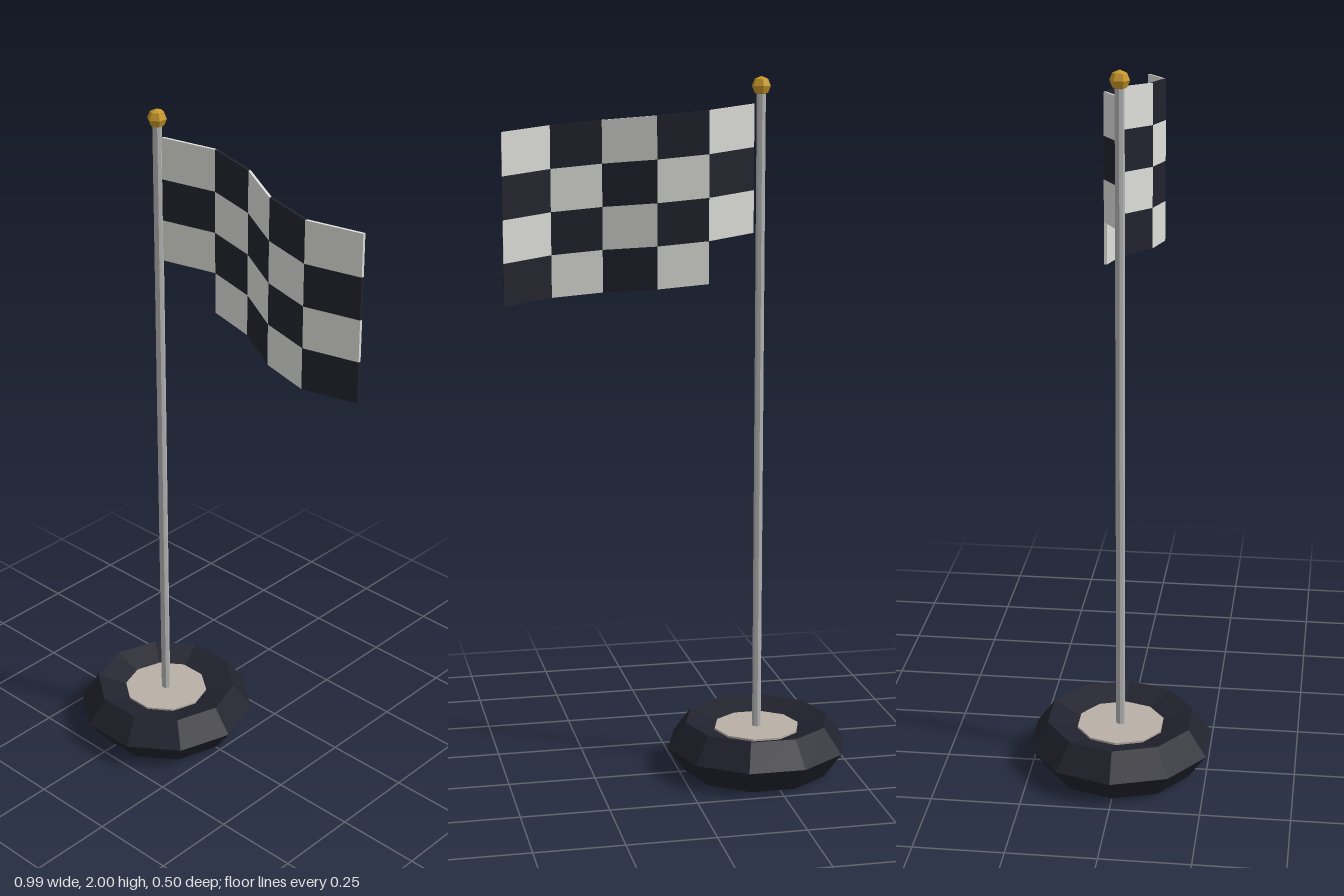
import * as THREE from 'three';
import { mergeGeometries } from 'three/addons/utils/BufferGeometryUtils.js';

const material = (name, color) => {
  const m = new THREE.MeshStandardMaterial({ color });
  m.name = name;
  return m;
};

// Faceted copy of a geometry
const faceted = (geometry) => {
  const g = geometry.index ? geometry.toNonIndexed() : geometry;
  g.computeVertexNormals();
  return g;
};

export function createModel() {
  const black = material('black', 0x22222e);
  const white = material('white', 0xdededa);
  const stone = material('stone', 0xb9b1a6);
  const steel = material('steel', 0xb4b4b4);
  const gold = material('gold', 0xc8982a);

  const group = new THREE.Group();
  group.name = 'flagStand';
  const add = (name, geometry, mat, x = 0, y = 0) => {
    const mesh = new THREE.Mesh(faceted(geometry), mat);
    mesh.name = name;
    mesh.position.set(x, y, 0);
    group.add(mesh);
  };

  const poleX = -0.23;

  // Tyre base with a filled hub
  add('tyre', new THREE.TorusGeometry(0.187, 0.078, 5, 10).rotateX(Math.PI / 2), black, poleX, 0.074);
  add('hub', new THREE.CylinderGeometry(0.125, 0.125, 0.104, 10).rotateY(Math.PI / 2), stone, poleX, 0.074);

  // Pole and finial
  add('pole', new THREE.CylinderGeometry(0.013, 0.013, 1.84, 8), steel, poleX, 1.04);
  add('finial', new THREE.SphereGeometry(0.027, 6, 4).rotateY(Math.PI / 6), gold, poleX, 1.973);

  // Waving chequered flag, with the lower corner at the pole missing
  const columns = 5, rows = 4, cellW = 0.14, cellH = 0.1185;
  const startX = -0.21, topY = 1.925;
  const cells = [[], []];
  for (let c = 0; c < columns; c++) {
    for (let r = 0; r < rows; r++) {
      if (c === 0 && r === rows - 1) continue;
      const g = new THREE.BoxGeometry(cellW, cellH, 0.008);
      g.translate(startX + (c + 0.5) * cellW, topY - (r + 0.5) * cellH, 0);
      const p = g.attributes.position;
      for (let i = 0; i < p.count; i++) {
        const t = (p.getX(i) - startX) / (columns * cellW);
        p.setY(i, p.getY(i) - 0.07 * t);
        p.setZ(i, p.getZ(i) - 0.062 * Math.sin(t * Math.PI * 2));
      }
      cells[(c + r) % 2].push(g);
    }
  }
  add('flagWhiteSquares', mergeGeometries(cells[0]), white);
  add('flagBlackSquares', mergeGeometries(cells[1]), black);

  return group;
}
